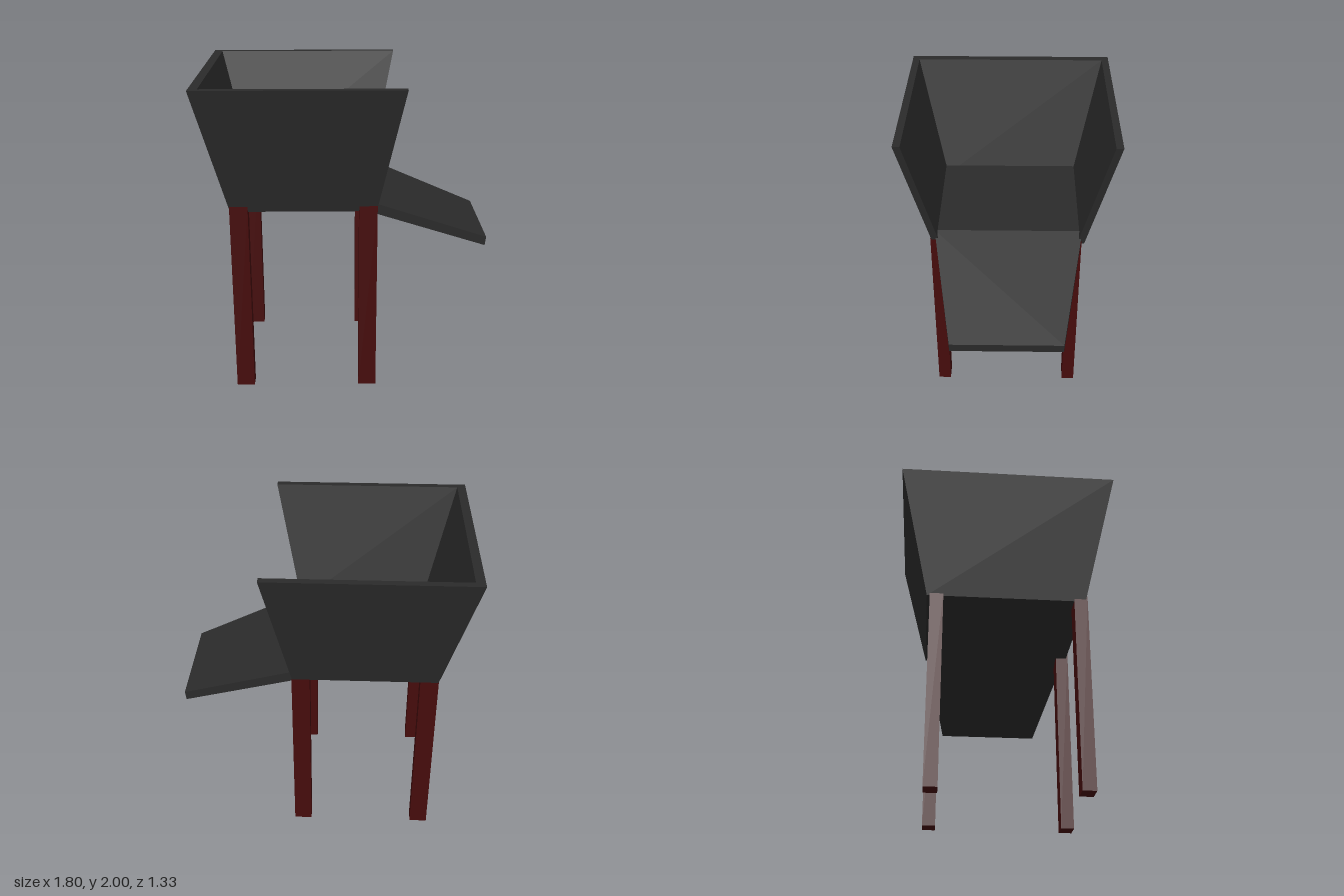
import * as THREE from 'three';

const board = new THREE.MeshStandardMaterial({ color: 0x2b2b2b, flatShading: true });
const legWood = new THREE.MeshStandardMaterial({ color: 0x450b0b, flatShading: true });

// Six-sided board between a lower and an upper quad, both anticlockwise from above
function slab(name, lower, upper) {
  const pos = [];
  const quad = (a, b, c, d) => pos.push(...a, ...b, ...c, ...a, ...c, ...d);
  quad(...upper);
  quad(...[...lower].reverse());
  for (let i = 0; i < 4; i++) {
    const j = (i + 1) % 4;
    quad(lower[i], lower[j], upper[j], upper[i]);
  }
  const geo = new THREE.BufferGeometry();
  geo.setAttribute('position', new THREE.Float32BufferAttribute(pos, 3));
  geo.computeVertexNormals();
  const mesh = new THREE.Mesh(geo, board);
  mesh.name = name;
  return mesh;
}

// Symmetric quad at one or two heights: back edge at x0, front edge at x1
const trapezoid = (x0, y0, z0, x1, y1, z1) =>
  [[x0, y0, z0], [x1, y1, z1], [x1, y1, -z1], [x0, y0, -z0]];

export function createModel() {
  const group = new THREE.Group();
  const low = 1.21, top = 2;

  // Flared side walls with mitred rear corners
  for (const [name, s] of [['leftSideWall', 1], ['rightSideWall', -1]]) {
    const ring = (y, xOut, zOut, xIn, zIn, xEnd) => {
      const q = [[xOut, y, zOut * s], [xEnd, y, zOut * s], [xEnd, y, zIn * s], [xIn, y, zIn * s]];
      return s > 0 ? q : q.reverse();
    };
    group.add(slab(name,
      ring(low, -0.71, 0.487, -0.645, 0.442, 0.19),
      ring(top, -0.9, 0.667, -0.845, 0.622, 0.35)));
  }

  // Sloping end wall
  group.add(slab('endWall',
    trapezoid(-0.71, low, 0.487, -0.645, low, 0.442),
    trapezoid(-0.9, top, 0.667, -0.845, top, 0.622)));

  // Floor
  group.add(slab('floor',
    trapezoid(-0.645, low, 0.442, 0.12, low, 0.442),
    trapezoid(-0.66, 1.27, 0.455, 0.14, 1.27, 0.455)));

  // Tapered chute running down from the floor
  group.add(slab('chute',
    trapezoid(0.12, low, 0.475, 0.893, 0.92, 0.343),
    trapezoid(0.14, 1.27, 0.475, 0.9, 0.977, 0.343)));

  // Four square legs
  const legGeo = new THREE.BoxGeometry(0.113, 1.245, 0.083);
  for (const [xName, x] of [['rear', -0.657], ['front', 0.138]]) {
    for (const [zName, z] of [['Left', 0.458], ['Right', -0.428]]) {
      const leg = new THREE.Mesh(legGeo, legWood);
      leg.name = xName + zName + 'Leg';
      leg.position.set(x, 1.245 / 2, z);
      group.add(leg);
    }
  }
  return group;
}
